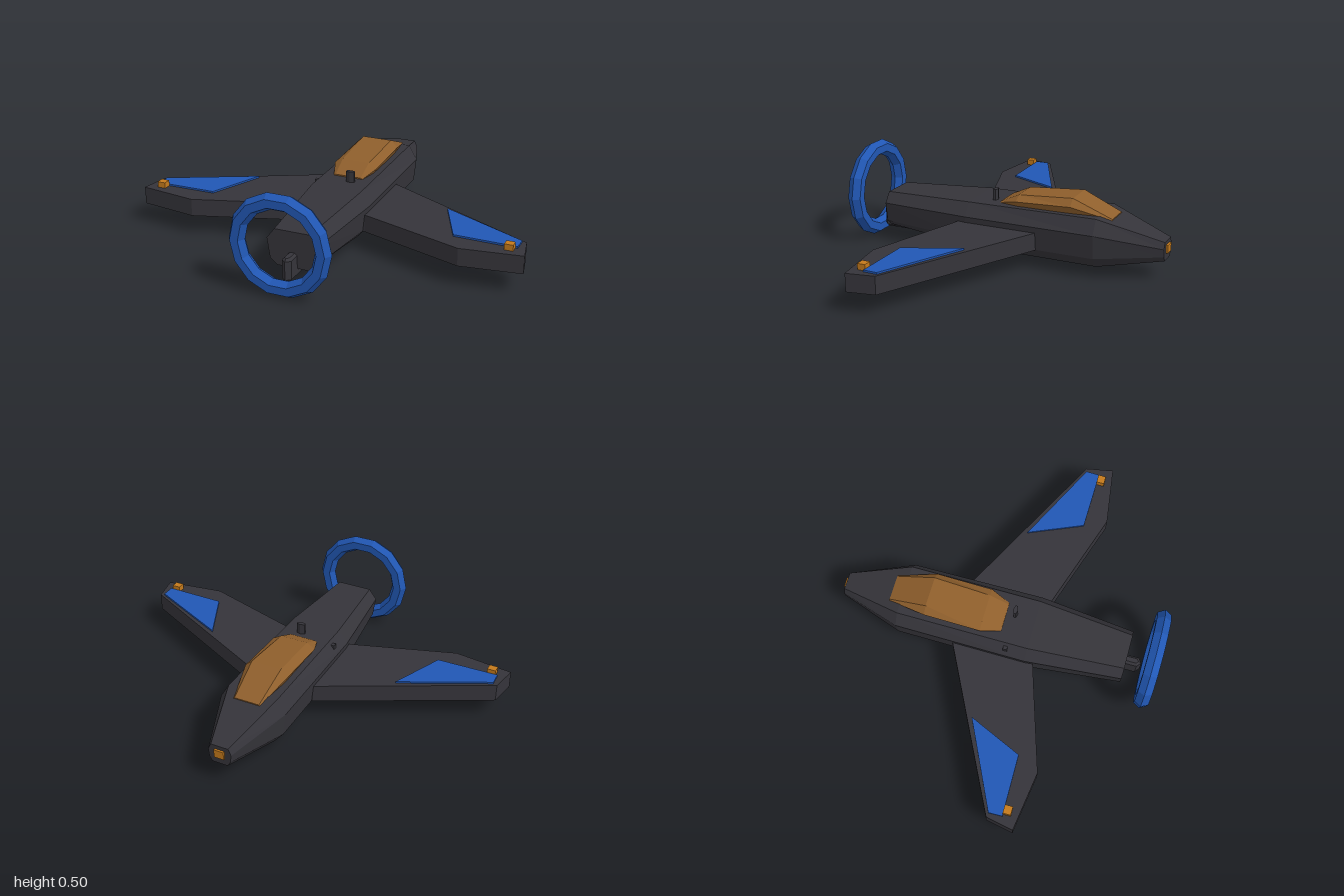
import * as THREE from 'three';

const mat = (name, color) => {
  const m = new THREE.MeshStandardMaterial({ color });
  m.name = name;
  return m;
};

// Faceted copy of a geometry
function faceted(geo) {
  const g = geo.index ? geo.toNonIndexed() : geo;
  g.computeVertexNormals();
  return g;
}

// Loft along z; each station is [z, half profile from bottom to top], mirrored in x
function loft(stations) {
  const pos = [], idx = [];
  const n = stations[0][1].length * 2;
  for (const [z, half] of stations) {
    for (const [x, y] of half) pos.push(x, y, z);
    for (const [x, y] of [...half].reverse()) pos.push(-x, y, z);
  }
  for (let i = 0; i < stations.length - 1; i++) {
    for (let j = 0; j < n; j++) {
      const a = i * n + j, b = i * n + (j + 1) % n;
      idx.push(a, b, b + n, a, b + n, a + n);
    }
  }
  const last = (stations.length - 1) * n;
  for (let j = 1; j < n - 1; j++) {
    idx.push(0, j + 1, j);
    idx.push(last, last + j, last + j + 1);
  }
  const g = new THREE.BufferGeometry();
  g.setAttribute('position', new THREE.Float32BufferAttribute(pos, 3));
  g.setIndex(idx);
  return faceted(g);
}

// Flat slab with an outline in x and z, between two heights
function slab(points, bottom, top, bevel = 0) {
  const shape = new THREE.Shape(points.map(([x, z]) => new THREE.Vector2(x, z)));
  const g = new THREE.ExtrudeGeometry(shape, {
    depth: top - bottom - 2 * bevel, bevelEnabled: bevel > 0,
    bevelThickness: bevel, bevelSize: bevel, bevelOffset: -bevel, bevelSegments: 1,
  });
  g.rotateX(Math.PI / 2);
  g.translate(0, top - bevel, 0);
  return g;
}

export function createModel() {
  const model = new THREE.Group();
  model.name = 'aircraft';
  const body = mat('charcoal', 0x35343a);
  const blue = mat('blue', 0x2157b4);
  const glass = mat('amber glass', 0x8f5f2c);
  const lamp = mat('orange lamp', 0xc47a1c);
  const add = (name, geo, material, x = 0, y = 0, z = 0) => {
    const m = new THREE.Mesh(geo, material);
    m.name = name;
    m.position.set(x, y, z);
    model.add(m);
    return m;
  };

  // Fuselage with an eight-sided section
  add('fuselage', loft([
    [-0.82, [[0.04, 0.11], [0.055, 0.135], [0.06, 0.175], [0.045, 0.207]]],
    [-0.5, [[0.115, 0.055], [0.16, 0.11], [0.173, 0.23], [0.13, 0.303]]],
    [0.18, [[0.115, 0.055], [0.165, 0.11], [0.178, 0.23], [0.13, 0.295]]],
    [0.67, [[0.08, 0.09], [0.115, 0.12], [0.13, 0.22], [0.09, 0.272]]],
  ]), body);

  // Canopy
  add('canopy', loft([
    [-0.56, [[0.06, 0.26], [0.07, 0.285], [0.065, 0.29]]],
    [-0.36, [[0.09, 0.285], [0.115, 0.338], [0.078, 0.373]]],
    [-0.07, [[0.09, 0.285], [0.115, 0.325], [0.072, 0.35]]],
    [0.03, [[0.065, 0.285], [0.078, 0.298], [0.068, 0.303]]],
  ]), glass);

  // Wings, wing panels and tip lamps
  const wing = [[0, -0.2], [0.17, -0.2], [0.973, 0.21], [1, 0.35], [0.7, 0.392], [0.17, 0.222], [0, 0.222]];
  const panel = [[0.52, 0.005], [0.952, 0.215], [0.95, 0.285], [0.64, 0.28]];
  for (const [side, s] of [['left', 1], ['right', -1]]) {
    const flip = (pts) => pts.map(([x, z]) => [x * s, z]);
    add(side + 'Wing', slab(flip(wing), 0.11, 0.2), body);
    add(side + 'WingPanel', slab(flip(panel), 0.2, 0.209), blue);
    add(side + 'TipLamp', new THREE.BoxGeometry(0.043, 0.03, 0.04), lamp, s * 0.917, 0.215, 0.303);
  }

  // Lamp on the narrow end
  add('noseLamp', new THREE.BoxGeometry(0.05, 0.042, 0.015), lamp, 0, 0.166, -0.8225);

  // Ring, fourteen segments with a six-sided section
  add('ring', faceted(new THREE.TorusGeometry(0.215, 0.041, 6, 14)), blue, 0, 0.257, 0.793);

  // Ring mount
  add('ringMount', slab([
    [0, 0.75], [0.024, 0.73], [0.024, 0.55], [0, 0.53], [-0.024, 0.55], [-0.024, 0.73],
  ], 0.05, 0.167, 0.012), body);

  // Short antennas above, below and on one shoulder
  const rod = faceted(new THREE.CylinderGeometry(0.025, 0.025, 0.07, 6));
  rod.scale(1, 1, 0.5);
  add('upperAntenna', rod, body, 0.033, 0.317, 0.075);
  add('lowerAntenna', rod, body, 0.033, 0.042, 0.075);
  add('shoulderStub', new THREE.BoxGeometry(0.02, 0.03, 0.022), body, -0.15, 0.265, 0.072);

  return model;
}
